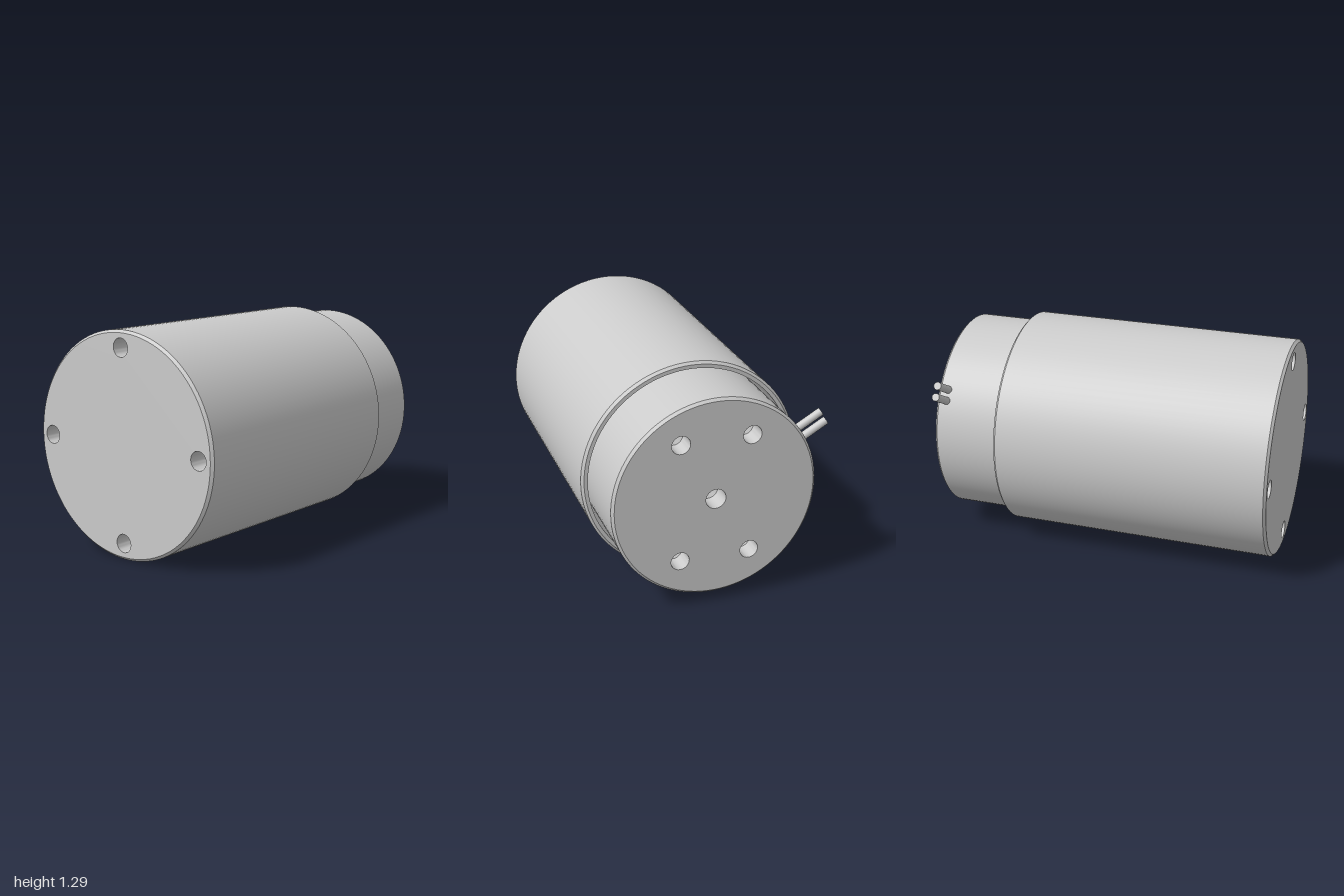
import * as THREE from 'three';
import { toCreasedNormals } from 'three/addons/utils/BufferGeometryUtils.js';

const SEG = 96, HOLE_SEG = 32;
const grey = new THREE.MeshStandardMaterial({ color: 0xcccccc });

function part(name, geometry) {
  const mesh = new THREE.Mesh(geometry, grey);
  mesh.name = name;
  return mesh;
}

// Turned surface around z from [radius, z] pairs, with sharp edges kept
function turned(profile, segments = SEG) {
  const points = profile.map(([r, z]) => new THREE.Vector2(r, z));
  const g = new THREE.LatheGeometry(points, segments).rotateX(Math.PI / 2);
  return toCreasedNormals(g, 0.5);
}

// Flat round end facing +z, with drilled holes given as [x, y, radius]
function drilledEnd(name, radius, holes) {
  const end = new THREE.Group();
  end.name = name;
  const disc = new THREE.Shape().absarc(0, 0, radius, 0, Math.PI * 2);
  for (const [x, y, r] of holes) {
    disc.holes.push(new THREE.Path().absarc(x, y, r, 0, Math.PI * 2, true));
  }
  // Sample outline and holes at the same counts as the turned walls
  const outline = new THREE.Shape(disc.getPoints(SEG / 2));
  outline.holes = disc.holes.map(h => new THREE.Path(h.getPoints(HOLE_SEG / 2)));
  end.add(part(name + 'Face', new THREE.ShapeGeometry(outline)));

  // Blind holes with drill-point bottoms
  for (const [x, y, r] of holes) {
    const hole = part('blindHole', turned([[r, 0], [r, -0.12], [0, -0.12 - r * 0.6]], HOLE_SEG));
    hole.position.set(x, y, 0);
    end.add(hole);
  }
  return end;
}

export function createModel() {
  const model = new THREE.Group();
  model.name = 'motor';
  const body = new THREE.Group();
  body.name = 'body';
  body.position.set(0.011, 0.644, 0);
  model.add(body);

  // Outer housing: gap floor, inner wall, chamfered rim, outside, front chamfer
  body.add(part('housing', turned([
    [0.59, 0.7], [0.607, 0.7], [0.607, -0.61], [0.629, -0.61],
    [0.644, -0.595], [0.644, 0.985], [0.629, 1],
  ])));

  // Inner core, standing out at the back
  body.add(part('core', turned([[0.575, -1], [0.59, -0.985], [0.59, 0.7]])));

  // Front end with four mounting holes
  const f = 0.548, hr = 0.053;
  const front = drilledEnd('frontEnd', 0.629, [[f, 0, hr], [-f, 0, hr], [0, f, hr], [0, -f, hr]]);
  front.position.z = 1;
  body.add(front);

  // Back end with a centre hole and four mounting holes
  const backHoles = [[0, 0, 0.058]];
  for (const sx of [-1, 1]) for (const sy of [-1, 1]) backHoles.push([sx * 0.203, sy * 0.352, hr]);
  const back = drilledEnd('backEnd', 0.575, backHoles);
  back.rotation.y = Math.PI;
  back.position.z = -1;
  body.add(back);

  // Pair of wire stubs pointing outward from the core's upper right side
  const wires = new THREE.Group();
  wires.name = 'wires';
  wires.position.z = -0.94;
  wires.rotation.z = Math.PI * 5 / 6;
  for (const side of [-1, 1]) {
    const wire = part('wire', new THREE.CylinderGeometry(0.023, 0.023, 0.2, 24).rotateZ(-Math.PI / 2));
    wire.position.set(0.643, side * 0.033, 0);
    wires.add(wire);
  }
  body.add(wires);

  return model;
}
